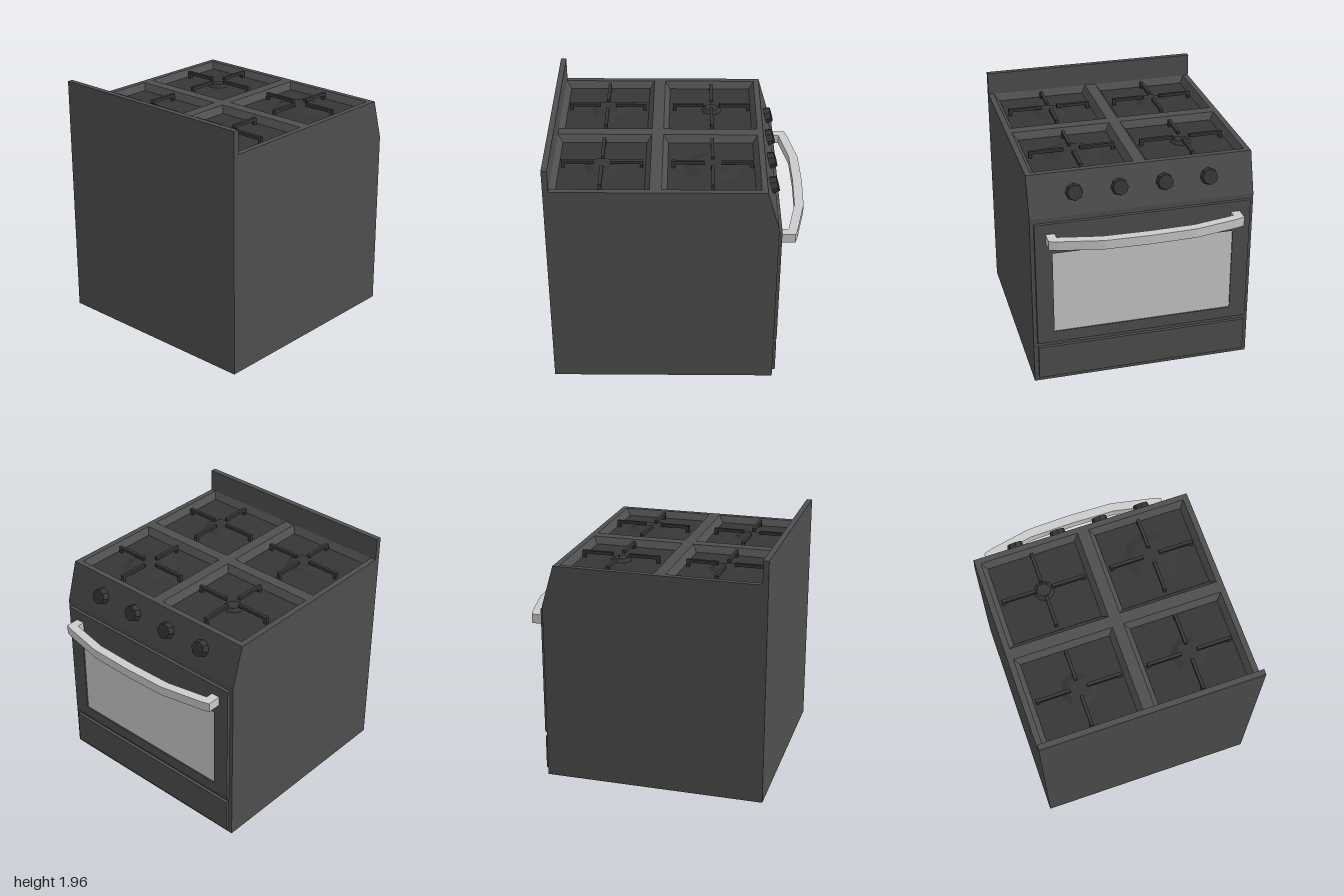
import * as THREE from 'three';

export function createModel() {
  const range = new THREE.Group();
  range.name = 'cooker';
  const mat = (name, color) => {
    const m = new THREE.MeshStandardMaterial({ color });
    m.name = name;
    m.flatShading = true;
    return m;
  };
  const enamel = mat('grey enamel', 0x4f4f4f);
  const iron = mat('dark iron', 0x363636);
  const silver = mat('light silver', 0xcccccc);

  const add = (name, geo, material, x = 0, y = 0, z = 0, parent = range) => {
    const m = new THREE.Mesh(geo, material);
    m.name = name;
    m.position.set(x, y, z);
    parent.add(m);
    return m;
  };
  const outline = (pts) => new THREE.Shape(pts.map(([x, y]) => new THREE.Vector2(x, y)));
  // Extrusion centred on z
  const prism = (shape, depth) =>
    new THREE.ExtrudeGeometry(shape, { depth, bevelEnabled: false }).translate(0, 0, -depth / 2);
  const rect = (w, y0, y1) => [[-w, y0], [w, y0], [w, y1], [-w, y1]];

  const TOP = 1.775, FLOOR = 1.72, SLOPE = 0.04;

  // Body with back splash, sunken hob and sloping control panel
  add('body', prism(outline([
    [-1, 0], [0.765, 0], [0.765, 1.45], [0.67, TOP], [0.625, TOP], [0.585, FLOOR],
    [-0.915, FLOOR], [-0.955, TOP], [-0.955, 1.96], [-1, 1.96],
  ]), 1.77), enamel);

  // Rims between and beside the wells, with sloping flanks
  add('middleRim', prism(outline([
    [-0.25, FLOOR], [-0.08, FLOOR], [-0.12, TOP], [-0.21, TOP],
  ]), 1.7), enamel);
  const alongX = (pts) => prism(outline(pts), 1.58).rotateY(Math.PI / 2);
  add('crossRim', alongX([
    [-0.045 - SLOPE, FLOOR], [0.045 + SLOPE, FLOOR], [0.045, TOP], [-0.045, TOP],
  ]), enamel, -0.165);
  add('leftRim', alongX([
    [-0.885, FLOOR], [-0.84 + SLOPE, FLOOR], [-0.84, TOP], [-0.885, TOP],
  ]), enamel, -0.165);
  add('rightRim', alongX([
    [0.84 - SLOPE, FLOOR], [0.885, FLOOR], [0.885, TOP], [0.84, TOP],
  ]), enamel, -0.165);

  // Four wells, each with a burner and a four-finger grate
  const burners = [
    [-0.583, -0.4425, 0.145], [0.265, -0.4425, 0.085],
    [-0.583, 0.4425, 0.145], [0.265, 0.4425, 0.23],
  ];
  for (const [x, z, r] of burners) {
    const hob = new THREE.Group();
    hob.name = 'hob';
    hob.position.set(x, 0, z);
    range.add(hob);
    const wellX = x < 0 ? -0.5825 : 0.2525;
    add('wellFloor', new THREE.BoxGeometry(0.665, 0.006, 0.715), iron, wellX - x, FLOOR, 0, hob);
    add('burner', new THREE.CylinderGeometry(r * 0.65, r, 0.025, 8), iron, 0, FLOOR + 0.014, 0, hob);
    for (let i = 0; i < 4; i++) {
      const finger = new THREE.Group();
      finger.name = 'grateFinger';
      finger.rotation.y = i * Math.PI / 2;
      const end = i % 2 ? 0.34 : 0.315;
      const start = 0.065;
      add('bar', new THREE.BoxGeometry(end - start, 0.025, 0.026), iron, (start + end) / 2, 1.7675, 0, finger);
      add('foot', new THREE.BoxGeometry(0.026, 0.04, 0.026), iron, end - 0.013, 1.74, 0, finger);
      hob.add(finger);
    }
  }

  // Knobs square to the sloping panel
  const tilt = Math.atan2(0.095, 0.325);
  for (const z of [-0.53, -0.177, 0.177, 0.53]) {
    const knob = add('knob', new THREE.CylinderGeometry(0.06, 0.069, 0.055, 8), iron, 0.739, 1.626, z);
    knob.rotation.z = tilt - Math.PI / 2;
  }

  // Oven door with a slightly recessed window, and a drawer
  const door = outline(rect(0.855, 0.36, 1.41));
  door.holes.push(new THREE.Path(rect(0.72, 0.455, 1.155).map(([x, y]) => new THREE.Vector2(x, y))));
  add('ovenDoor', prism(door, 0.027).rotateY(Math.PI / 2), enamel, 0.7775);
  add('window', new THREE.BoxGeometry(0.009, 0.7, 1.44), silver, 0.777, 0.805, 0);
  add('drawer', new THREE.BoxGeometry(0.027, 0.28, 1.7), enamel, 0.7765, 0.18, 0);

  // Bowed door handle, outlined from above and mirrored
  const outer = [[0.785, 0.77], [0.9, 0.77], [0.92, 0.71], [0.99, 0.36], [1, 0.02]];
  const inner = [[0.925, 0.02], [0.917, 0.36], [0.85, 0.698], [0.785, 0.698]];
  const mirror = (pts) => pts.map(([x, y]) => [x, -y]).reverse();
  const handle = outline([...outer, ...mirror(outer), ...mirror(inner), ...inner]);
  add('handle', prism(handle, 0.075).rotateX(-Math.PI / 2), silver, 0, 1.2875, 0);

  return range;
}
